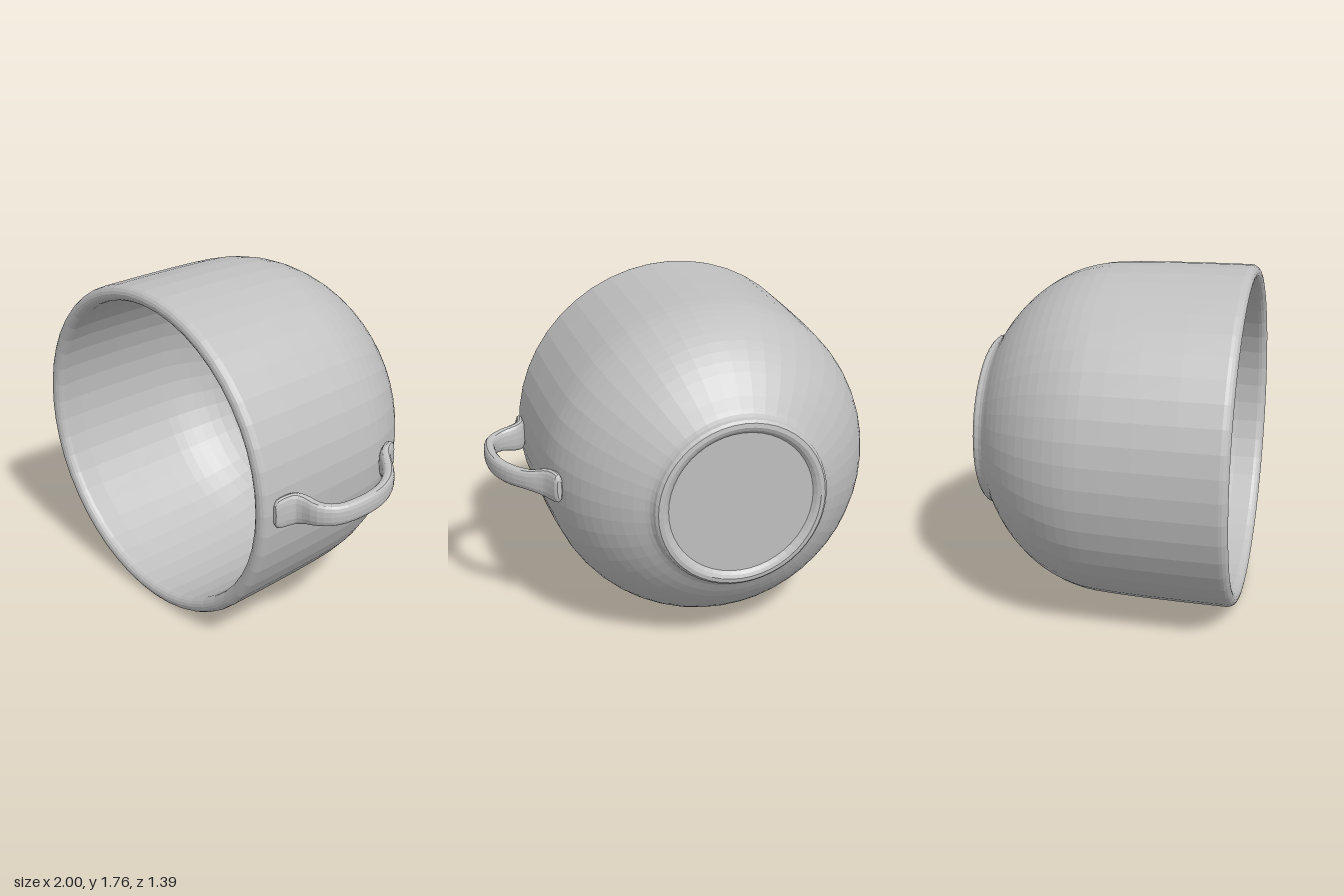
import * as THREE from 'three';

const ceramic = new THREE.MeshStandardMaterial({ color: 0xc0c0c0, flatShading: true });
ceramic.name = 'grey ceramic';

// Elliptical arc of profile points [radius, distance from base] centred on the axis
function arc(radius, depth, centre, fromDeg, toDeg, steps) {
  return Array.from({ length: steps + 1 }, (_, i) => {
    const a = THREE.MathUtils.degToRad(fromDeg + ((toDeg - fromDeg) * i) / steps);
    return [radius * Math.cos(a), centre - depth * Math.sin(a)];
  });
}

// Rounded lip, from outside to inside
const LIP = Array.from({ length: 9 }, (_, i) => {
  const a = (i / 8) * Math.PI;
  return [0.838 + 0.04 * Math.cos(a), 1.309 + 0.041 * Math.sin(a)];
});

// Bowl wall as one closed profile: foot, outside, lip, inside
const PROFILE = [
  [0, 0.025], [0.375, 0.025], [0.392, 0.008], [0.41, 0], [0.432, 0.003], [0.445, 0.016],
  [0.45, 0.036], [0.462, 0.054],
  ...arc(0.862, 0.742, 0.685, 56, 4, 12),
  [0.867, 0.75], [0.872, 0.9], [0.876, 1.1],
  ...LIP,
  [0.805, 1.2], [0.805, 0.95], [0.8, 0.75],
  ...arc(0.797, 0.667, 0.685, 4, 51, 9),
  [0.42, 0.125], [0.32, 0.1], [0.2, 0.09], [0, 0.085],
];

// Handle centre line: x, z, half thickness, half width
const HANDLE = [
  [0.678, -0.284, 0.012, 0.05], [0.682, -0.272, 0.023, 0.076], [0.697, -0.235, 0.028, 0.083],
  [0.73, -0.185, 0.031, 0.077], [0.81, -0.125, 0.031, 0.055], [0.89, -0.04, 0.031, 0.053],
  [0.945, 0.075, 0.031, 0.053], [0.964, 0.21, 0.031, 0.053], [0.946, 0.345, 0.031, 0.053],
  [0.885, 0.41, 0.031, 0.06], [0.81, 0.432, 0.031, 0.076], [0.774, 0.46, 0.028, 0.083],
  [0.764, 0.51, 0.024, 0.083], [0.762, 0.557, 0.021, 0.076], [0.762, 0.576, 0.012, 0.05],
];

// Loft soft rectangular sections along the smoothed centre line, closing both ends
function makeHandle(y) {
  const sides = 16, rings = 43, pos = [], index = [];
  const soft = (v) => Math.sign(v) * Math.pow(Math.abs(v), 0.75);
  const path = new THREE.CatmullRomCurve3(HANDLE.map(([x, z]) => new THREE.Vector3(x, y, z)));
  const size = new THREE.CatmullRomCurve3(HANDLE.map(([, , t, w]) => new THREE.Vector3(t, w, 0)), false, 'catmullrom');
  for (let i = 0; i < rings; i++) {
    const u = i / (rings - 1);
    const p = path.getPoint(u), t = path.getTangent(u), s = size.getPoint(u);
    for (let j = 0; j < sides; j++) {
      const ang = (j / sides) * Math.PI * 2;
      const c = soft(Math.cos(ang)) * s.x;
      pos.push(p.x + t.z * c, y + soft(Math.sin(ang)) * s.y, p.z - t.x * c);
    }
  }
  for (let i = 0; i < rings - 1; i++) {
    for (let j = 0; j < sides; j++) {
      const a = i * sides + j, b = i * sides + ((j + 1) % sides);
      index.push(a, b, b + sides, a, b + sides, a + sides);
    }
  }
  const last = (rings - 1) * sides;
  for (let j = 1; j < sides - 1; j++) {
    index.push(0, j + 1, j, last, last + j, last + j + 1);
  }
  const geo = new THREE.BufferGeometry();
  geo.setAttribute('position', new THREE.Float32BufferAttribute(pos, 3));
  geo.setIndex(index);
  geo.computeVertexNormals();
  return geo;
}

export function createModel() {
  const cup = new THREE.Group();
  cup.name = 'cup';

  // Bowl lying on its side, mouth forward and turned slightly
  const bowlGeo = new THREE.LatheGeometry(PROFILE.map(([r, s]) => new THREE.Vector2(r, s)), 48);
  bowlGeo.rotateX(Math.PI / 2);
  const bowl = new THREE.Mesh(bowlGeo, ceramic);
  bowl.name = 'bowl';
  bowl.rotation.y = 0.033;
  bowl.position.set(-0.165, 0.88, -0.68);
  cup.add(bowl);

  const handle = new THREE.Mesh(makeHandle(0.882), ceramic);
  handle.name = 'handle';
  cup.add(handle);
  return cup;
}
